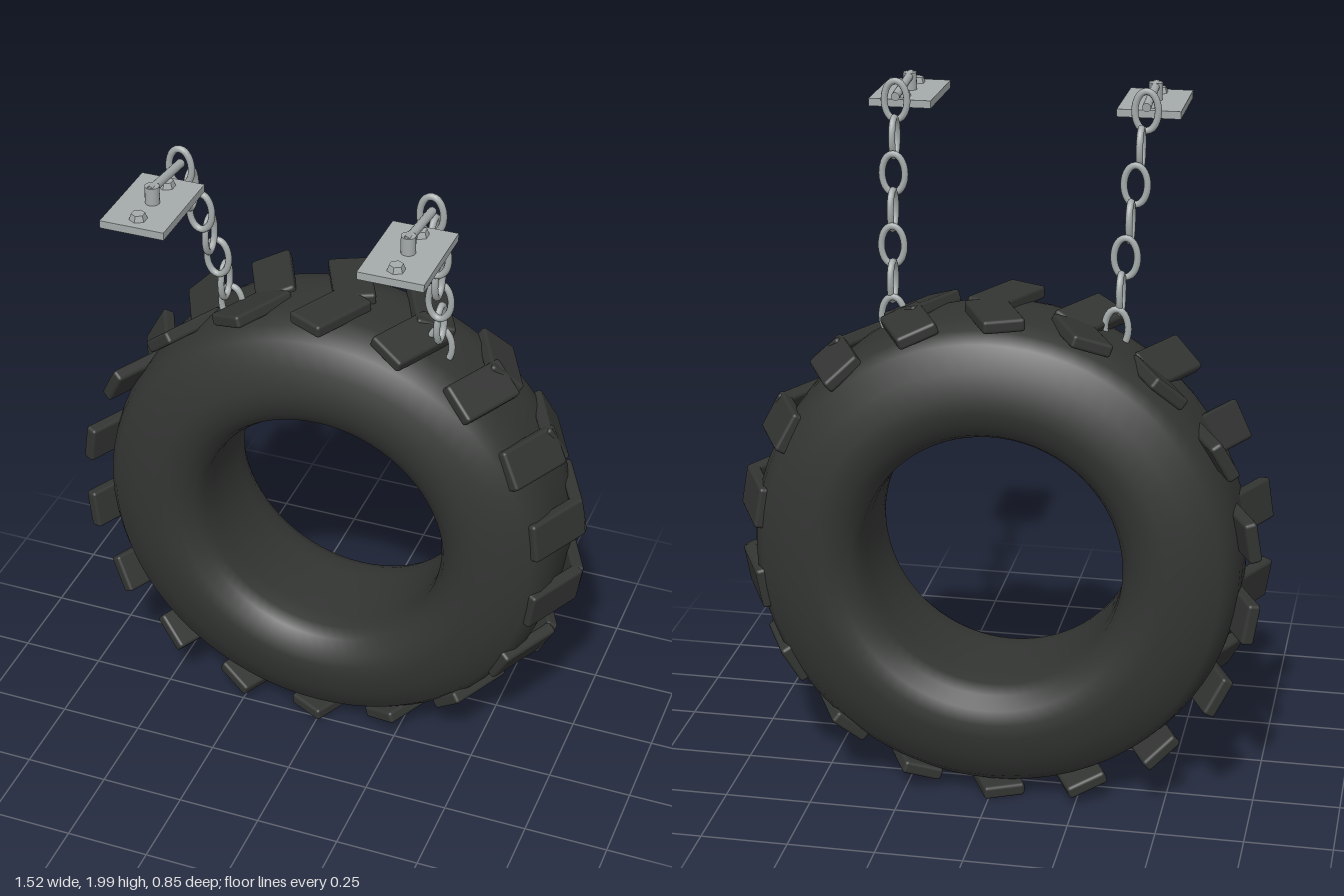
import * as THREE from 'three';
import { RoundedBoxGeometry } from 'three/addons/geometries/RoundedBoxGeometry.js';

const rubber = new THREE.MeshStandardMaterial({ color: 0x333533 });
const metal = new THREE.MeshStandardMaterial({ color: 0xa4abaa });

function add(parent, name, geometry, material, x = 0, y = 0, z = 0) {
  const mesh = new THREE.Mesh(geometry, material);
  mesh.name = name;
  mesh.position.set(x, y, z);
  parent.add(mesh);
  return mesh;
}

// Tyre body: a closed cross-section turned about the wheel axis
function makeTyre() {
  const tyre = new THREE.Group();
  tyre.name = 'tyre';
  const half = [
    [0.698, 0.05], [0.695, 0.1], [0.68, 0.15], [0.652, 0.187], [0.58, 0.22], [0.51, 0.238],
    [0.47, 0.236], [0.43, 0.225], [0.393, 0.196], [0.375, 0.158], [0.37, 0.1],
  ];
  const lower = half.map(([r, h]) => [r, -h]).reverse();
  const profile = [[0.369, 0], ...lower, [0.698, 0], ...half, [0.369, 0]];
  const body = new THREE.LatheGeometry(profile.map(([r, h]) => new THREE.Vector2(r, h)), 72);
  body.rotateX(Math.PI / 2);
  add(tyre, 'tyreBody', body, rubber);

  // Tread: 18 pairs of thin slabs forming chevrons
  const lug = new RoundedBoxGeometry(0.12, 0.038, 0.212, 2, 0.01);
  for (let i = 0; i < 18; i++) {
    const a = (i / 18) * Math.PI * 2;
    for (const side of [1, -1]) {
      const block = add(tyre, 'treadBlock', lug, rubber,
        0.704 * Math.sin(a), 0.704 * Math.cos(a), side * 0.086);
      block.rotation.set(0, -side * 0.45, -a);
    }
  }
  tyre.position.set(0, 0.73, -0.187);
  return tyre;
}

// Oval chain link standing upright in the xy plane
function linkGeometry() {
  const points = [];
  for (let i = 0; i < 16; i++) {
    const a = (i / 16) * Math.PI * 2;
    points.push(new THREE.Vector3(0.033 * Math.cos(a), 0.056 * Math.sin(a), 0));
  }
  return new THREE.TubeGeometry(new THREE.CatmullRomCurve3(points, true), 32, 0.01, 8, true);
}

// Mounting plate with bolts, post, bar and hanging chain
function makeHanger(side) {
  const hanger = new THREE.Group();
  hanger.name = side > 0 ? 'leftHanger' : 'rightHanger';
  const x = side * 0.358;
  add(hanger, 'mountingPlate', new THREE.BoxGeometry(0.182, 0.022, 0.274), metal, x, 1.913, 0.288);

  const boltHead = new THREE.CylinderGeometry(0.019, 0.025, 0.018, 6).toNonIndexed();
  boltHead.computeVertexNormals();
  for (const z of [0.195, 0.38]) add(hanger, 'bolt', boltHead, metal, x, 1.932, z);

  add(hanger, 'post', new THREE.CylinderGeometry(0.02, 0.02, 0.052, 16), metal, x, 1.948, 0.288);
  const start = new THREE.Vector3(x, 1.966, 0.303);
  const end = new THREE.Vector3(x, 1.944, 0.1);
  const bar = add(hanger, 'bar',
    new THREE.CylinderGeometry(0.0125, 0.0125, start.distanceTo(end), 12), metal);
  bar.position.lerpVectors(start, end, 0.5);
  bar.quaternion.setFromUnitVectors(new THREE.Vector3(0, 1, 0), end.clone().sub(start).normalize());

  // Links alternate between facing front and facing sideways
  const link = linkGeometry();
  const depths = [0.103, 0.053, 0.006, -0.036, -0.073, -0.107, -0.137];
  depths.forEach((z, i) => {
    const ring = add(hanger, 'chainLink', link, metal,
      side * (0.358 - 0.0068 * i), 1.933 - 0.0935 * i, z);
    if (i % 2) ring.rotation.y = Math.PI / 2;
  });
  return hanger;
}

export function createModel() {
  const model = new THREE.Group();
  model.name = 'tyreSwing';
  model.add(makeTyre(), makeHanger(1), makeHanger(-1));
  return model;
}
